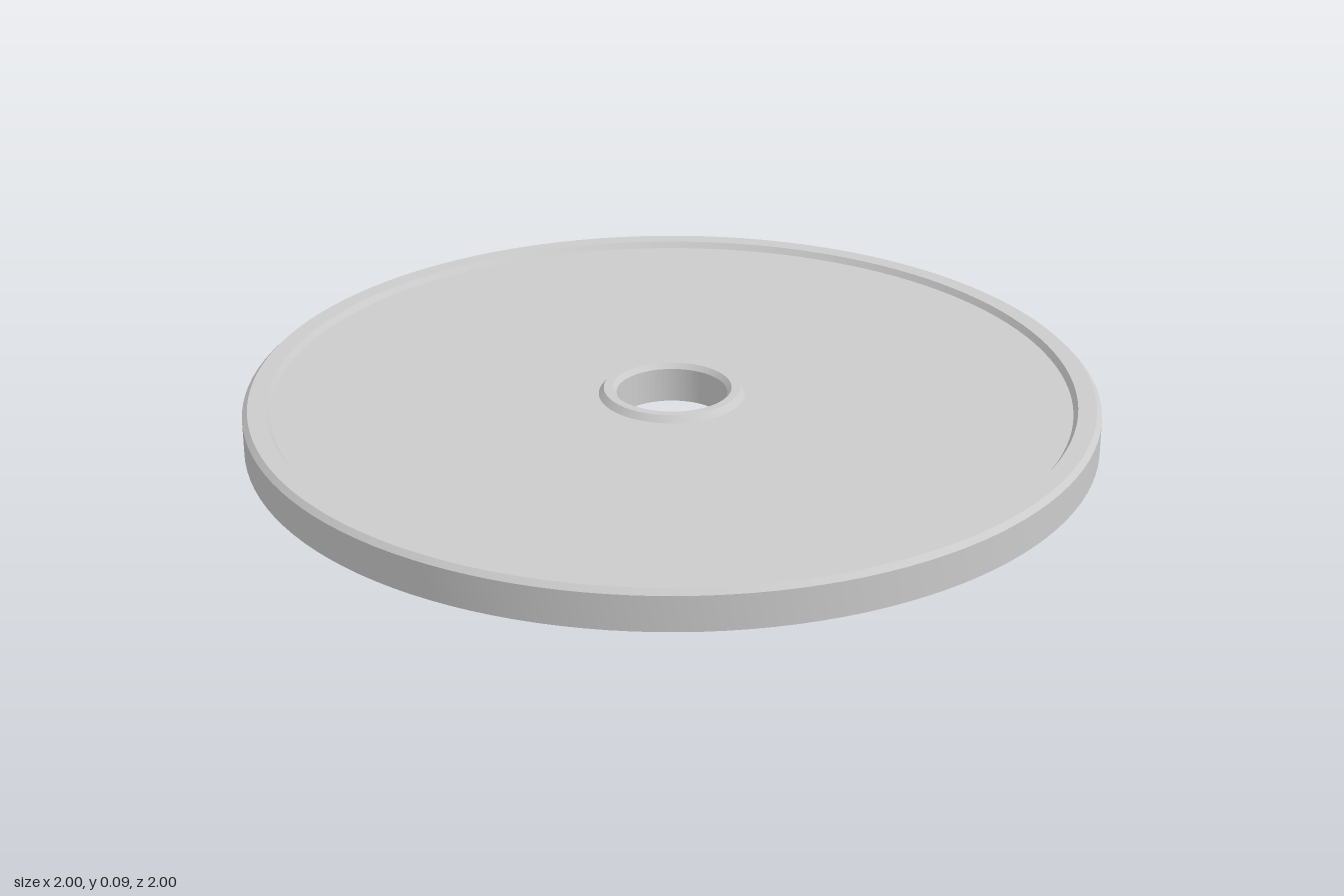
import * as THREE from 'three';
import { toCreasedNormals } from 'three/addons/utils/BufferGeometryUtils.js';

const SEGMENTS = 128;
const TOP = 0.095; // height of the raised rim and hub
const PLATE = 0.08; // height of the recessed plate

export function createModel() {
  const group = new THREE.Group();
  const material = new THREE.MeshStandardMaterial({ color: 0xcccccc, side: THREE.DoubleSide });

  // Revolve a [radius, height] profile into a thin shell with sharp edges
  function addShell(name, profile) {
    const points = profile.map(([r, y]) => new THREE.Vector2(r, y));
    const geometry = toCreasedNormals(new THREE.LatheGeometry(points, SEGMENTS), Math.PI / 6);
    const mesh = new THREE.Mesh(geometry, material);
    mesh.name = name;
    group.add(mesh);
  }

  // Outer wall, chamfer, flat lip and slope down to the plate
  addShell('outerRim', [[1, 0], [1, 0.083], [0.988, TOP], [0.945, TOP], [0.935, PLATE]]);

  // Thin recessed disc
  addShell('plate', [[0.935, PLATE], [0.172, PLATE]]);

  // Raised collar around the hole, with a tube hanging down to the base
  addShell('hub', [[0.172, PLATE], [0.16, TOP], [0.14, TOP], [0.13, 0.083], [0.13, 0]]);

  return group;
}
